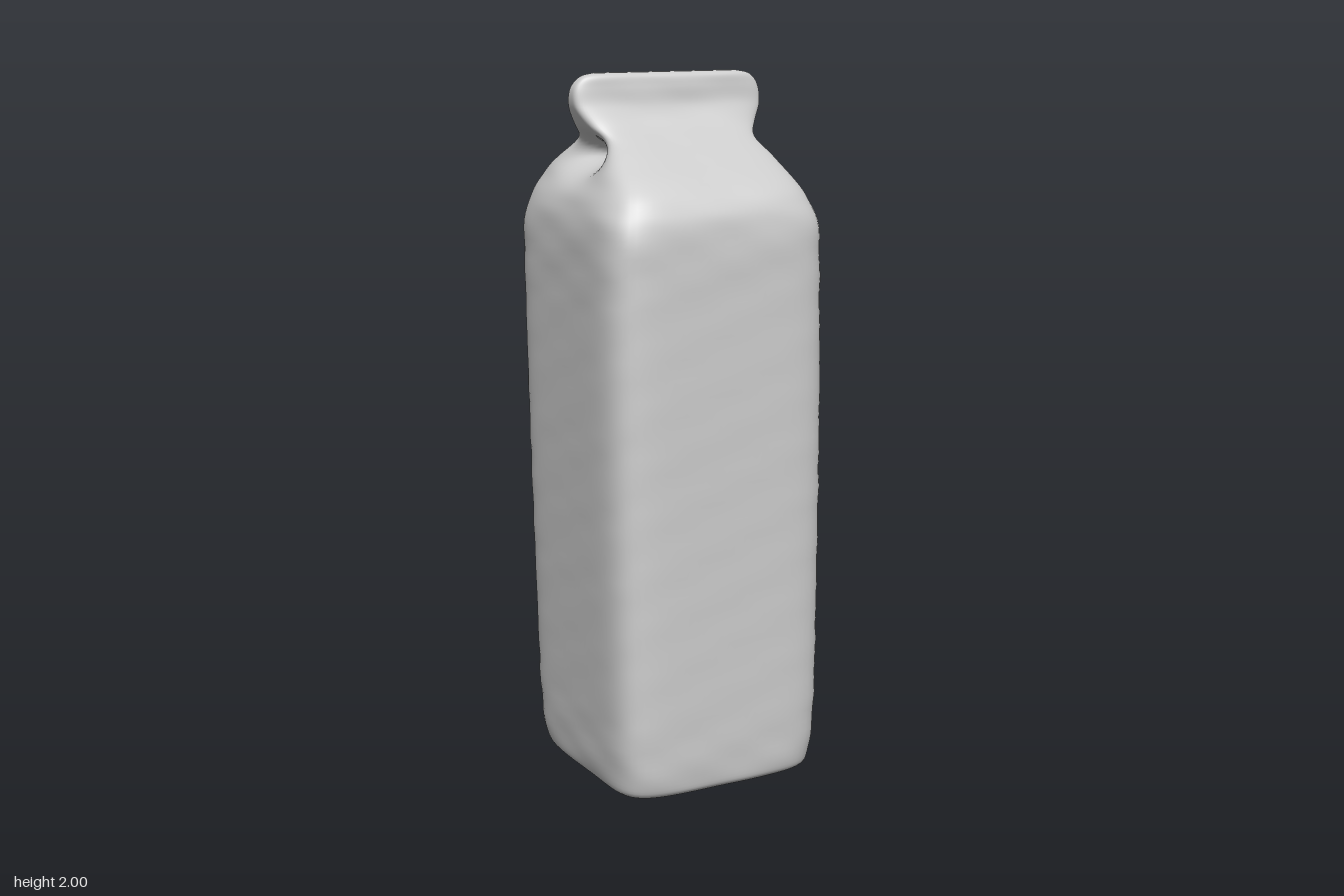
import * as THREE from 'three';

// Cross-sections from base to fin: [y, half width, front z, back z, squareness, back bulge]
const SECTIONS = [
  [0.005, 0.25, 0.28, -0.22, 6, 0],
  [0.02, 0.298, 0.328, -0.265, 6, 0],
  [0.06, 0.318, 0.346, -0.285, 6, 0],
  [0.2, 0.326, 0.35, -0.294, 7, 0],
  [0.5, 0.332, 0.348, -0.303, 7, 0],
  [0.8, 0.336, 0.345, -0.314, 7, 0],
  [1.1, 0.338, 0.34, -0.325, 7, 0],
  [1.4, 0.338, 0.332, -0.337, 7, 0],
  [1.58, 0.335, 0.325, -0.342, 7, 0],
  [1.66, 0.318, 0.302, -0.33, 6, 0.008],
  [1.72, 0.288, 0.25, -0.295, 6, 0.035],
  [1.77, 0.264, 0.18, -0.23, 6, 0.09],
  [1.82, 0.252, 0.105, -0.15, 5, 0.125],
  [1.86, 0.268, 0.052, -0.105, 5, 0.095],
  [1.91, 0.29, 0.02, -0.078, 5, 0.035],
  [1.96, 0.288, 0.011, -0.064, 4, 0],
  [1.99, 0.262, 0.004, -0.056, 4, 0],
  [2.0, 0.22, -0.012, -0.045, 4, 0],
];
const SIDE = 24;  // points along each side of a section
const STEPS = 6;  // rings between two listed sections

// Smooth interpolation through the listed sections
function sectionAt(t) {
  const last = SECTIONS.length - 1;
  const i = Math.min(Math.floor(t), last - 1), f = t - i;
  const key = (k) => SECTIONS[Math.max(0, Math.min(last, k))];
  return SECTIONS[0].map((_, c) => {
    const [a, b, d, e] = [-1, 0, 1, 2].map((o) => key(i + o)[c]);
    const m0 = (d - a) / 2, m1 = (e - b) / 2;
    return b + f * (m0 + f * (3 * (d - b) - 2 * m0 - m1 + f * (2 * (b - d) + m0 + m1)));
  });
}

// Point j around a unit square, rounded into a superellipse
function roundedSquare(j, n) {
  const side = Math.floor(j / SIDE), s = (j % SIDE) / SIDE * 2 - 1;
  const [u, v] = [[1, s], [-s, 1], [-1, -s], [s, -1]][side];
  const k = Math.pow(Math.abs(u) ** n + Math.abs(v) ** n, -1 / n);
  return [u * k, v * k];
}

function cartonGeometry() {
  const pos = [], index = [];
  const count = SIDE * 4, rings = (SECTIONS.length - 1) * STEPS;
  for (let i = 0; i <= rings; i++) {
    const [y, half, front, back, n, bulge] = sectionAt(i / STEPS);
    for (let j = 0; j < count; j++) {
      const [u, v] = roundedSquare(j, n);
      let x = u * half;
      let z = (front + back) / 2 + v * (front - back) / 2;
      // swollen middle of the rear roof panel
      if (v < 0) z -= bulge * Math.exp(-(((x + 0.01) / 0.16) ** 4)) * v * v;
      // folded-in pocket under each end of the fin
      const edge = THREE.MathUtils.smoothstep(Math.abs(u), 0.6, 0.95);
      const pocket = Math.exp(-(((z + 0.03) / 0.085) ** 2) - ((y - 1.775) / 0.05) ** 2);
      x -= Math.sign(u) * 0.1 * edge * pocket;
      // faint unevenness of the panels
      const wave = 0.0015 * Math.sin(y * 47 + x * 9) * Math.sin(x * 23 + z * 19 + y * 5);
      pos.push(x + u * wave, y, z + v * wave);
    }
  }
  for (let i = 0; i < rings; i++) {
    for (let j = 0; j < count; j++) {
      const k = (j + 1) % count;
      const a = i * count + j, b = i * count + k, c = a + count, d = b + count;
      index.push(a, c, b, b, c, d);
    }
  }
  // close the base and the top of the fin
  const base = pos.length / 3, top = base + 1, r = rings * count;
  pos.push(0, 0, 0.03, 0, 2, -0.028);
  for (let j = 0; j < count; j++) {
    const k = (j + 1) % count;
    index.push(base, j, k, top, r + k, r + j);
  }
  const geometry = new THREE.BufferGeometry();
  geometry.setAttribute('position', new THREE.Float32BufferAttribute(pos, 3));
  geometry.setIndex(index);
  geometry.computeVertexNormals();
  return geometry;
}

export function createModel() {
  const group = new THREE.Group();
  group.name = 'gableTopCarton';
  const material = new THREE.MeshStandardMaterial({ color: 0xcccccc });
  const carton = new THREE.Mesh(cartonGeometry(), material);
  carton.name = 'cartonBodyAndRoof';
  group.add(carton);
  return group;
}
